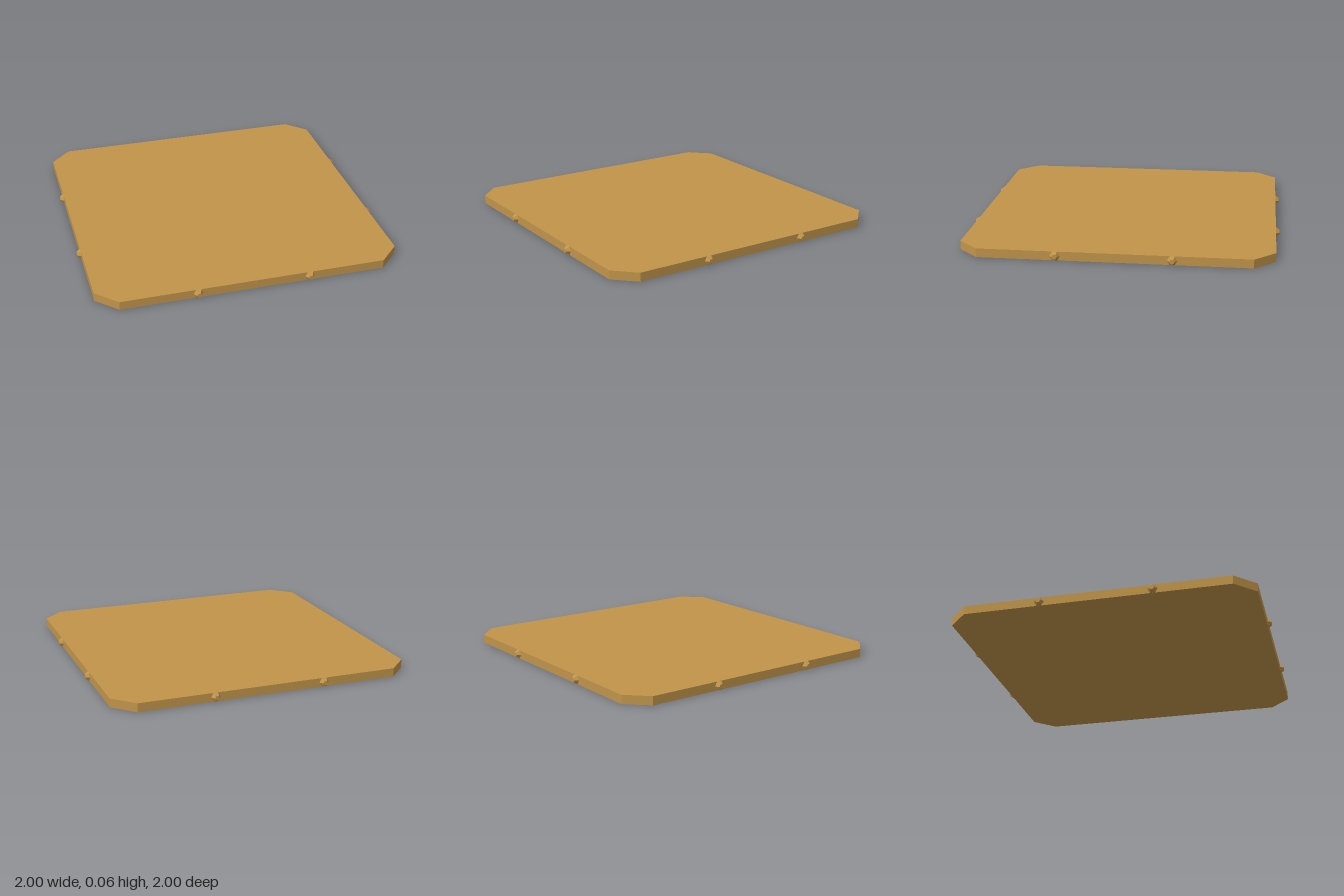
import * as THREE from 'three';

export function createModel() {
  const group = new THREE.Group();
  const material = new THREE.MeshStandardMaterial({ color: 0xc0944a, flatShading: true });
  const half = 0.976, cut = 0.845, thickness = 0.056, reach = 1 - half;

  // Square slab with clipped corners
  const outline = new THREE.Shape([
    [cut, -half], [half, -cut], [half, cut], [cut, half],
    [-cut, half], [-half, cut], [-half, -cut], [-cut, -half],
  ].map(([x, y]) => new THREE.Vector2(x, y)));
  const slab = new THREE.ExtrudeGeometry(outline, { depth: thickness, bevelEnabled: false });
  slab.rotateX(-Math.PI / 2);
  const plate = new THREE.Mesh(slab, material);
  plate.name = 'plate';
  group.add(plate);

  // Tapered hexagonal studs, two on each edge
  const studGeometry = new THREE.CylinderGeometry(0.016, 0.032, reach, 6, 1, false, Math.PI / 6);
  studGeometry.rotateX(Math.PI / 2);
  for (let side = 0; side < 4; side++) {
    const edge = new THREE.Group();
    edge.name = 'edgeStuds';
    edge.rotation.y = side * Math.PI / 2;
    for (const x of [-0.357, 0.357]) {
      const stud = new THREE.Mesh(studGeometry, material);
      stud.name = 'stud';
      stud.position.set(x, thickness / 2, half + reach / 2);
      edge.add(stud);
    }
    group.add(edge);
  }
  return group;
}
